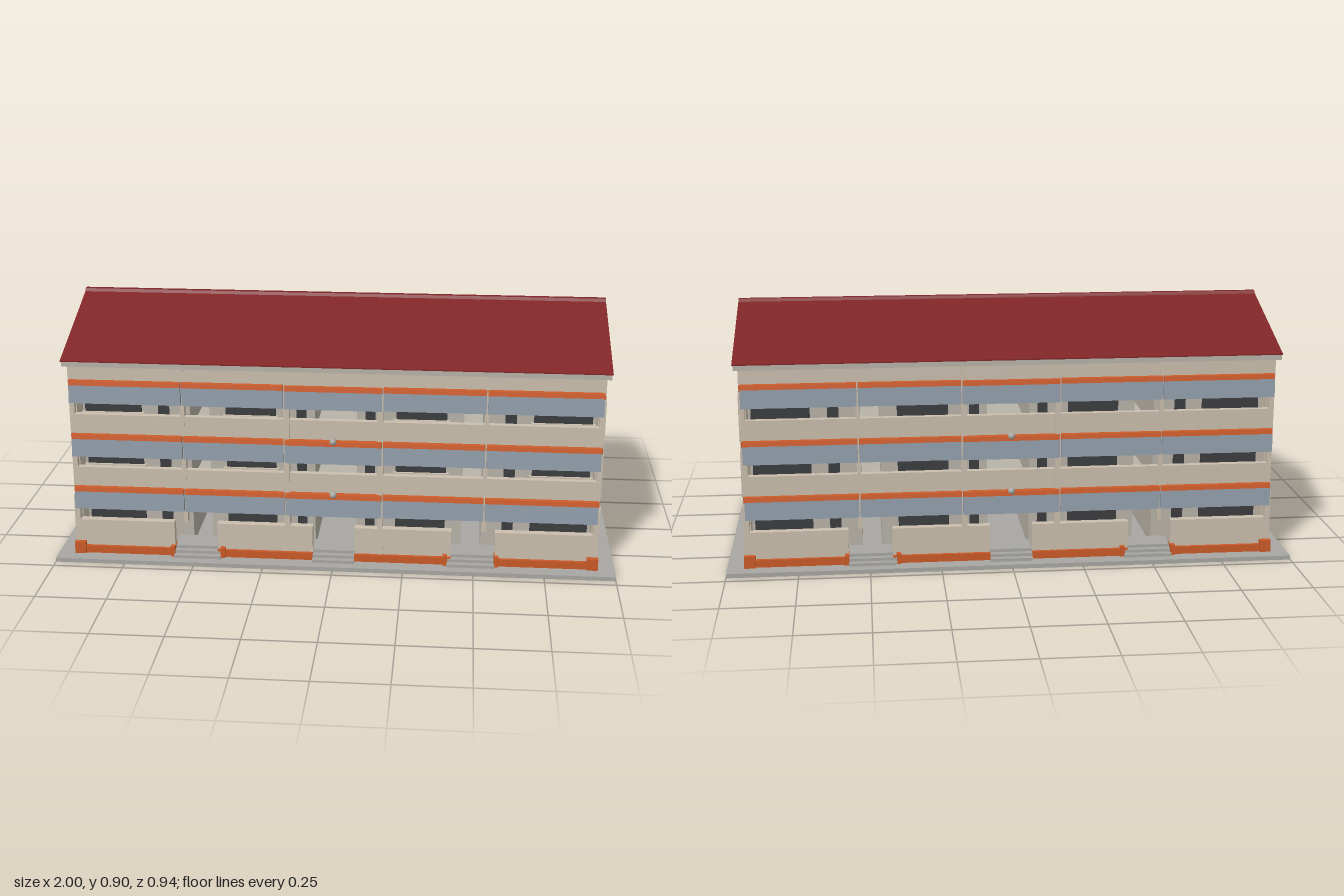
import * as THREE from 'three';

const mat = (name, color) => {
  const m = new THREE.MeshStandardMaterial({ color });
  m.name = name;
  return m;
};

export function createModel() {
  const M = {
    cream: mat('cream plaster', 0xcbbfae),
    orange: mat('orange paint', 0xcb5a28),
    red: mat('red roofing', 0x7f2527),
    blue: mat('blue grey metal', 0x8e9ba8),
    grey: mat('concrete', 0xa8a7a2),
    trim: mat('pale trim', 0xb8b3a8),
    dark: mat('dark glass', 0x3c3d3f),
  };
  const model = new THREE.Group();
  model.name = 'apartmentBlock';

  const add = (parent, name, geo, m) => {
    const mesh = new THREE.Mesh(geo, m);
    mesh.name = name;
    parent.add(mesh);
    return mesh;
  };
  // Box given by its min and max on each axis
  const box = (parent, name, m, x0, x1, y0, y1, z0, z1) => {
    const mesh = add(parent, name, new THREE.BoxGeometry(x1 - x0, y1 - y0, z1 - z0), m);
    mesh.position.set((x0 + x1) / 2, (y0 + y1) / 2, (z0 + z1) / 2);
    return mesh;
  };
  // Profile of [z, y] points extruded from x0 to x1
  const sweep = (parent, name, m, pts, x0, x1) => {
    const shape = new THREE.Shape(pts.map(([z, y]) => new THREE.Vector2(z, y)));
    const geo = new THREE.ExtrudeGeometry(shape, { depth: x1 - x0, bevelEnabled: false });
    geo.rotateY(-Math.PI / 2).translate(x1, 0, 0);
    return add(parent, name, geo, m);
  };
  // Polygon with rounded corners, extruded like a profile
  const roundedPanel = (parent, name, m, pts, r, x0, x1) => {
    const v = pts.map(([z, y]) => new THREE.Vector2(z, y));
    const out = [];
    v.forEach((p, i) => {
      const toward = (q) => p.clone().add(q.clone().sub(p).setLength(r));
      const a = toward(v[(i + v.length - 1) % v.length]);
      const b = toward(v[(i + 1) % v.length]);
      new THREE.QuadraticBezierCurve(a, p, b).getPoints(5).forEach((q) => out.push([q.x, q.y]));
    });
    return sweep(parent, name, m, out, x0, x1);
  };

  // Ground slab
  box(model, 'groundSlab', M.grey, -1, 1, 0, 0.015, -0.468, 0.468);

  // Roof: pale deck, red covering and ridge cap
  const chevron = (drop, t, half) => [
    [-half, 0.745 - drop - t], [0, 0.896 - drop - t], [half, 0.745 - drop - t],
    [half, 0.745 - drop], [0, 0.896 - drop], [-half, 0.745 - drop],
  ];
  sweep(model, 'roofDeck', M.trim, chevron(0.004, 0.018, 0.415), -0.95, 0.95);
  sweep(model, 'roofCovering', M.red, chevron(0, 0.004, 0.417), -0.953, 0.953);
  sweep(model, 'ridgeCap', M.red,
    [[-0.02, 0.885], [0.02, 0.885], [0.01, 0.9], [-0.01, 0.9]], -0.953, 0.953);

  // Floor slabs
  const levels = [0.26, 0.46, 0.66];
  for (const y of levels) box(model, 'floorSlab', M.trim, -0.92, 0.92, y - 0.025, y, -0.375, 0.375);

  // Rooms between the three through passages
  for (const s of [1, -1]) {
    for (const [a, b] of [[0.075, 0.455], [0.525, 0.92]]) {
      const [x0, x1] = s > 0 ? [a, b] : [-b, -a];
      box(model, 'rooms', M.trim, x0, x1, 0.015, 0.66, -0.29, 0.29);
    }
  }

  // Gable end walls: painted frame with rounded cream panels
  const roofY = (z) => 0.874 - 0.364 * Math.abs(z);
  const gable = [
    [-0.37, 0.015], [0.37, 0.015], [0.37, 0.668], [0.345, 0.668], [0.345, roofY(0.345)],
    [0, roofY(0)], [-0.345, roofY(0.345)], [-0.345, 0.668], [-0.37, 0.668],
  ];
  const rows = [[0.048, 0.237], [0.26, 0.437], [0.462, 0.637], [0.66, null]];
  for (const s of [1, -1]) {
    const end = new THREE.Group();
    end.name = 'gableEnd';
    end.rotation.y = s > 0 ? 0 : Math.PI;
    model.add(end);
    sweep(end, 'gableWall', M.cream, gable, 0.915, 0.935);
    sweep(end, 'gableFrame', M.orange, gable, 0.935, 0.938);
    for (const side of [1, -1]) {
      rows.forEach(([y0, y1]) => {
        const [a, b] = [0.015 * side, 0.3 * side];
        const top = (z) => y1 ?? roofY(z);
        let pts = [[a, y0], [b, y0], [b, top(b)], [a, top(a)]];
        if (side < 0) pts = pts.reverse();
        roundedPanel(end, 'gablePanel', M.cream, pts, y1 ? 0.026 : 0.018, 0.936, 0.941);
        if (y1) {
          let strip = [[0.331 * side, y0], [0.371 * side, y0], [0.371 * side, y1], [0.331 * side, y1]];
          if (side < 0) strip = strip.reverse();
          roundedPanel(end, 'edgePanel', M.cream, strip, 0.012, 0.936, 0.941);
        }
      });
    }
  }

  // Long facades, the same on both sides
  const bays = [[-0.93, -0.535], [-0.53, -0.175], [-0.17, 0.17], [0.175, 0.53], [0.535, 0.93]];
  const buildFacade = () => {
    const f = new THREE.Group();
    f.name = 'facade';

    for (const y of levels) {
      // Orange lip and tilted metal screens
      box(f, 'balconyLip', M.orange, -0.935, 0.935, y - 0.015, y + 0.008, 0.345, 0.395);
      bays.forEach(([x0, x1], i) => {
        const d = i === 2 ? 0.005 : 0;
        sweep(f, 'sunScreen', M.blue, [
          [0.387, y - 0.068], [0.418 + d, y - 0.07], [0.412 + d, y - 0.004], [0.385, y - 0.004],
        ], x0, x1);
        sweep(f, 'screenCap', M.orange, [
          [0.385, y - 0.006], [0.413 + d, y - 0.006], [0.41 + d, y + 0.01], [0.385, y + 0.012],
        ], x0, x1);
      });
      // Balcony parapet, or the frieze under the eaves
      const top = y > 0.6 ? 0.728 : y + 0.082;
      box(f, 'parapet', M.cream, -0.935, 0.935, y, top, 0.372, 0.395);
    }
    box(f, 'centreFriezePanel', M.cream, -0.17, 0.17, 0.668, 0.72, 0.39, 0.401);
    for (const y of [0.262, 0.462]) {
      const lamp = add(f, 'lamp', new THREE.SphereGeometry(0.013, 12, 8), M.grey);
      lamp.position.set(0, y + 0.008, 0.412);
    }

    for (const s of [1, -1]) {
      const span = (name, m, a, b, ...r) => box(f, name, m, s > 0 ? a : -b, s > 0 ? b : -a, ...r);
      // Ground parapets on an orange plinth
      for (const [a, b] of [[0.075, 0.42], [0.575, 0.935]]) {
        span('groundParapet', M.cream, a, b, 0.04, 0.14, 0.372, 0.4);
        span('plinth', M.orange, a, b, 0.015, 0.042, 0.365, 0.412);
      }
      span('cornerPlinth', M.orange, 0.9, 0.94, 0.015, 0.058, 0.36, 0.42);
      // Columns
      span('cornerColumn', M.cream, 0.918, 0.938, 0.05, 0.235, 0.36, 0.4);
      span('cornerColumn', M.cream, 0.918, 0.936, 0.235, 0.73, 0.372, 0.393);
      span('centreColumn', M.cream, 0.155, 0.175, 0.015, 0.73, 0.37, 0.402);
      span('bayColumn', M.cream, 0.525, 0.54, 0.14, 0.72, 0.37, 0.397);
      // Windows and doors on each floor
      [0.015, 0.26, 0.46].forEach((y, i) => {
        const top = i ? y + 0.155 : y + 0.205;
        const sill = i ? y + 0.06 : y + 0.09;
        for (const [a, b] of [[0.7, 0.905], [0.215, 0.395]]) {
          span('window', M.dark, a, b, sill, top, 0.288, 0.296);
          span('windowSill', M.cream, a - 0.01, b + 0.01, sill - 0.012, sill, 0.285, 0.305);
        }
        for (const [a, b] of [[0.6, 0.64], [0.105, 0.14]]) {
          span('door', M.dark, a, b, y, top, 0.288, 0.295);
        }
      });
    }

    // Entrance steps
    for (const x of [-0.49, 0, 0.49]) {
      const w = x ? 0.085 : 0.075;
      for (let i = 0; i < 3; i++) {
        box(f, 'entranceStep', M.grey, x - w, x + w, 0.012, 0.026 + i * 0.011, 0.3, 0.433 - i * 0.02);
      }
      if (x) {
        for (const e of [-1, 1]) {
          const c = x + e * (w + 0.006);
          box(f, 'stepCheek', M.orange, c - 0.008, c + 0.008, 0.012, 0.052, 0.37, 0.422);
        }
      }
    }
    return f;
  };
  const front = buildFacade();
  front.name = 'frontFacade';
  const back = buildFacade();
  back.name = 'backFacade';
  back.rotation.y = Math.PI;
  model.add(front, back);

  return model;
}
